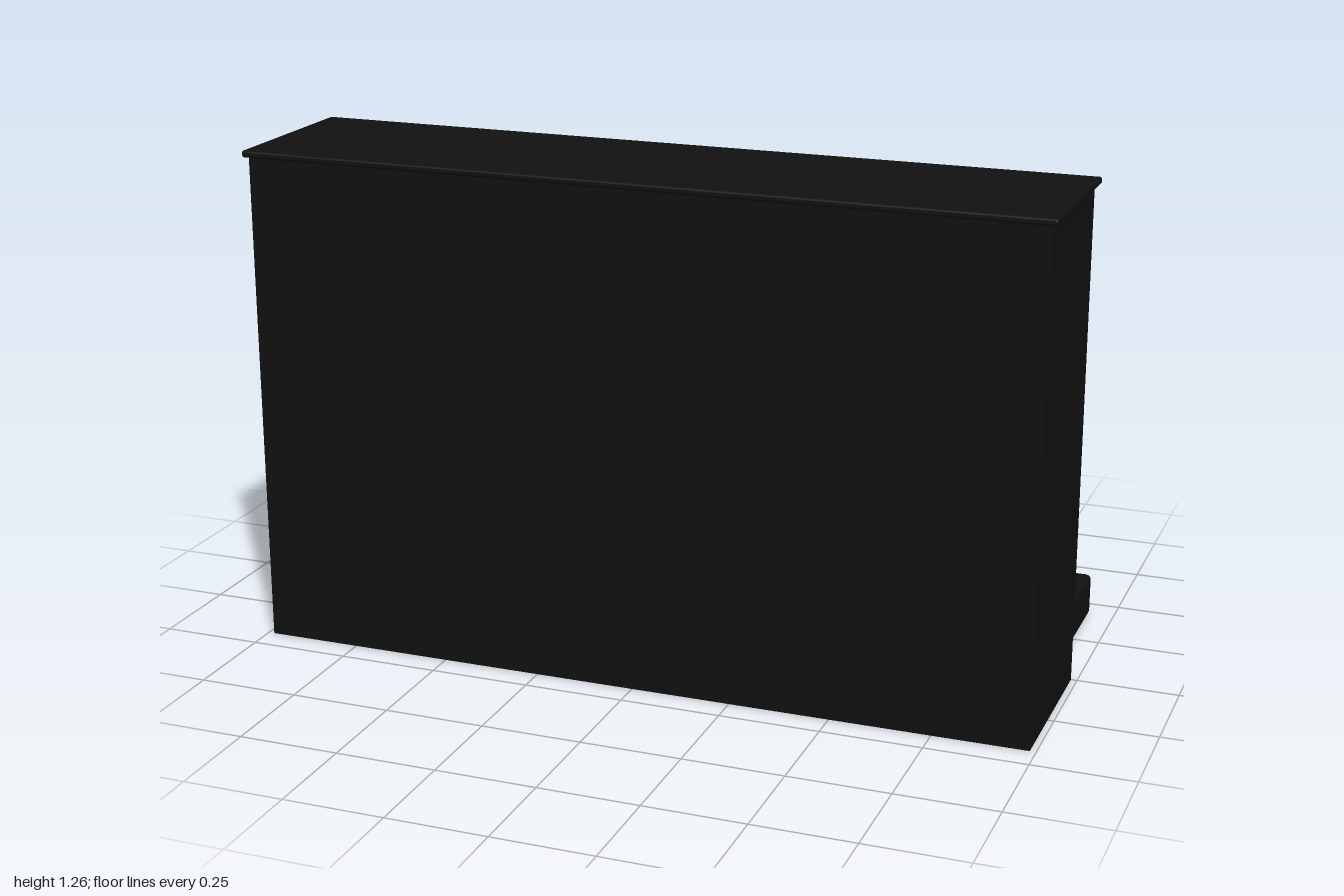
import * as THREE from 'three';
import { RoundedBoxGeometry } from 'three/addons/geometries/RoundedBoxGeometry.js';

const black = new THREE.MeshStandardMaterial({ color: 0x111111 });
const ivory = new THREE.MeshStandardMaterial({ color: 0xcccccc });
const brass = new THREE.MeshStandardMaterial({ color: 0xe8a94a });

export function createModel() {
  const piano = new THREE.Group();
  piano.name = 'uprightPiano';

  const add = (name, geometry, material, parent = piano) => {
    const mesh = new THREE.Mesh(geometry, material);
    mesh.name = name;
    parent.add(mesh);
    return mesh;
  };
  // Box given by its min and max corners, optionally with rounded edges
  const block = (name, [x0, y0, z0], [x1, y1, z1], material, radius = 0, parent = piano) => {
    const size = [x1 - x0, y1 - y0, z1 - z0];
    const geometry = radius
      ? new RoundedBoxGeometry(...size, 2, radius)
      : new THREE.BoxGeometry(...size);
    const mesh = add(name, geometry, material, parent);
    mesh.position.set((x0 + x1) / 2, (y0 + y1) / 2, (z0 + z1) / 2);
    return mesh;
  };
  // Side profile of [z, y] points, extruded along x around a centre
  const profile = (name, points, x, width, material, parent = piano) => {
    const shape = new THREE.Shape(points.map(([z, y]) => new THREE.Vector2(z, y)));
    const geometry = new THREE.ExtrudeGeometry(shape, { depth: width, bevelEnabled: false });
    geometry.translate(0, 0, -width / 2).rotateY(-Math.PI / 2);
    const mesh = add(name, geometry, material, parent);
    mesh.position.x = x;
    return mesh;
  };

  // Cabinet and lid
  block('cabinet', [-0.985, 0, 0], [0.985, 1.245, 0.43], black);
  block('lid', [-1, 1.239, -0.011], [1, 1.256, 0.44], black, 0.006);

  // Arm with front post and foot on each side
  const armProfile = [
    [0.01, 0.79], [-0.205, 0.79], [-0.205, 0.1], [-0.28, 0.1], [-0.28, 0.79],
    [-0.262, 0.88], [-0.208, 0.96], [-0.13, 1.01], [-0.04, 1.03], [0.01, 1.03],
  ];
  for (const side of [-1, 1]) {
    profile('armAndPost', armProfile, side * 0.893, 0.068, black);
    block('foot', [side * 0.885 - 0.053, 0, -0.438], [side * 0.885 + 0.053, 0.11, 0.03], black, 0.014);
  }

  // Key bed and end cheeks
  block('keyBed', [-0.865, 0.792, -0.217], [0.865, 0.893, 0.01], black, 0.006);
  for (const side of [-1, 1]) {
    block('keyCheek', [side * 0.8375 - 0.0245, 0.88, -0.175], [side * 0.8375 + 0.0245, 0.912, 0.005], black);
  }

  // Keyboard: 52 white keys from the bass end, sharps after A, C, D, F and G
  const keyboard = new THREE.Group();
  keyboard.name = 'keyboard';
  piano.add(keyboard);
  const pitch = 1.62 / 52;
  for (let i = 0; i < 52; i++) {
    const right = 0.81 - i * pitch;
    const left = right - pitch;
    block('whiteKey', [left + 0.0018, 0.885, -0.176], [right - 0.0018, 0.91, 0.005], ivory, 0, keyboard);
    if (i < 51 && [0, 2, 3, 5, 6].includes(i % 7)) {
      block('blackKey', [left - 0.009, 0.895, -0.102], [left + 0.009, 0.924, 0.005], black, 0, keyboard);
    }
  }

  // Three stepped pedals
  const pedalProfile = [
    [0.01, 0.004], [-0.27, 0.004], [-0.27, 0.026], [-0.16, 0.026], [-0.065, 0.078], [0.01, 0.078],
  ];
  for (const x of [-0.094, 0, 0.094]) profile('pedal', pedalProfile, x, 0.055, brass);

  return piano;
}
